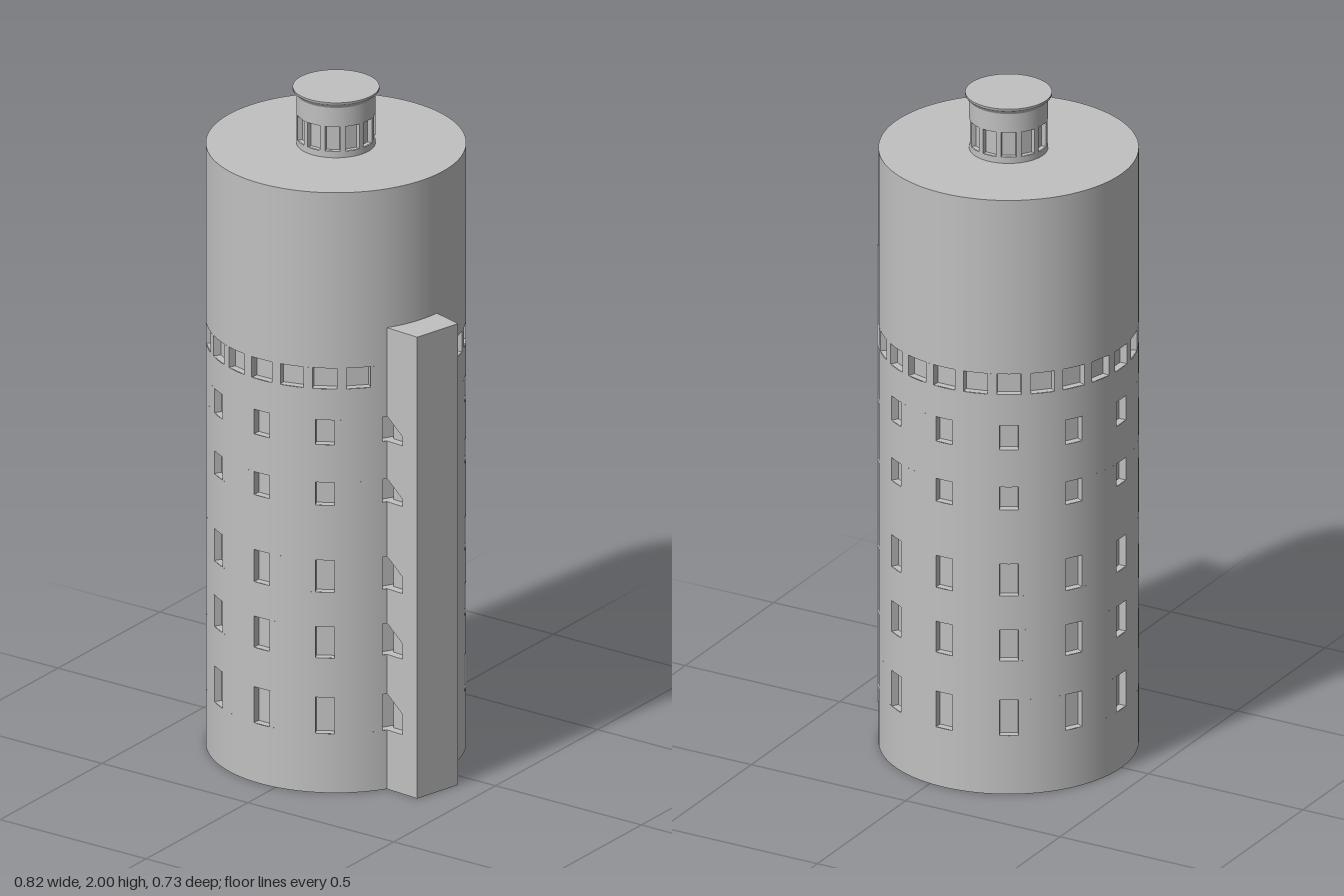
import * as THREE from 'three';
import { mergeGeometries } from 'three/addons/utils/BufferGeometryUtils.js';

const DEG = Math.PI / 180;
const CX = -0.047; // tower axis
const R = 0.366;
const ROWS = [[0.18, 0.29], [0.41, 0.505], [0.61, 0.708], [0.875, 0.945], [1.06, 1.135]];

// Smooth vertical strip of a cylinder wall, angles measured from +z towards +x
function wallPiece(r, y0, y1, a0 = 0, a1 = 360) {
  const g = new THREE.CylinderGeometry(r, r, y1 - y0, Math.max(2, Math.ceil((a1 - a0) / 3)), 1, true, a0 * DEG, (a1 - a0) * DEG);
  g.translate(0, (y0 + y1) / 2, 0);
  return g;
}

// Open-fronted niche: flat back, two jambs, sill and head
function niche(r, depth, y0, y1, a0, a1) {
  const q = r - depth;
  const p = (rad, a, y) => [rad * Math.sin(a * DEG), y, rad * Math.cos(a * DEG)];
  const faces = [
    [p(q, a0, y0), p(q, a1, y0), p(q, a1, y1), p(q, a0, y1)],
    [p(r, a0, y0), p(q, a0, y0), p(q, a0, y1), p(r, a0, y1)],
    [p(q, a1, y0), p(r, a1, y0), p(r, a1, y1), p(q, a1, y1)],
    [p(r, a0, y0), p(r, a1, y0), p(q, a1, y0), p(q, a0, y0)],
    [p(q, a0, y1), p(q, a1, y1), p(r, a1, y1), p(r, a0, y1)],
  ];
  const pos = faces.flatMap(([a, b, c, d]) => [a, b, c, a, c, d]).flat();
  const g = new THREE.BufferGeometry();
  g.setAttribute('position', new THREE.Float32BufferAttribute(pos, 3));
  g.computeVertexNormals();
  return g;
}

// Ring of wall with evenly spaced niches; skip lists angles left solid
function windowRing(walls, niches, r, depth, y0, y1, count, half, skip = []) {
  const step = 360 / count;
  for (let k = 0; k < count; k++) {
    const a = k * step;
    walls.push(wallPiece(r, y0, y1, a + half, a + step - half));
    if (skip.includes(a)) walls.push(wallPiece(r, y0, y1, a - half, a + half));
    else niches.push(niche(r, depth, y0, y1, a - half, a + half));
  }
}

export function createModel() {
  const root = new THREE.Group();
  root.name = 'roundTower';
  const stone = new THREE.MeshStandardMaterial({ color: 0xc0c0c0 });
  stone.name = 'paleGrey';
  const add = (name, geometry, parent = root) => {
    const m = new THREE.Mesh(geometry, stone);
    m.name = name;
    parent.add(m);
    return m;
  };
  const disc = (r, y, up = true) => {
    const g = new THREE.CircleGeometry(r, 120);
    g.rotateX(up ? -Math.PI / 2 : Math.PI / 2);
    return g.translate(0, y, 0);
  };

  // Main tower: solid rings between window rings
  const tower = new THREE.Group();
  tower.name = 'tower';
  tower.position.x = CX;
  root.add(tower);
  const walls = [], niches = [], bandNiches = [];
  let y = 0;
  for (const [y0, y1] of ROWS) {
    walls.push(wallPiece(R, y, y0));
    windowRing(walls, niches, R, 0.022, y0, y1, 12, 4.2);
    y = y1;
  }
  walls.push(wallPiece(R, y, 1.23));
  windowRing(walls, bandNiches, R, 0.022, 1.23, 1.293, 24, 5.4, [60, 75, 90]);
  walls.push(wallPiece(R, 1.293, 1.828));
  add('towerWall', mergeGeometries(walls), tower);
  add('windowNiches', mergeGeometries(niches), tower);
  add('bandNiches', mergeGeometries(bandNiches), tower);
  add('towerRoof', disc(R, 1.828), tower);
  add('towerBase', disc(R, 0, false), tower);

  // Lantern: ring of small niches, plain drum and flared cap
  const lantern = new THREE.Group();
  lantern.name = 'lantern';
  lantern.position.x = CX;
  root.add(lantern);
  const r = 0.111, drum = [], openings = [];
  drum.push(wallPiece(r, 1.828, 1.847));
  windowRing(drum, openings, r, 0.014, 1.847, 1.922, 12, 11);
  drum.push(wallPiece(r, 1.922, 1.985));
  add('lanternWall', mergeGeometries(drum), lantern);
  add('lanternNiches', mergeGeometries(openings), lantern);
  const flare = [[r, 1.98], [0.115, 1.988], [0.122, 1.993], [0.122, 2]];
  add('lanternRim', new THREE.LatheGeometry(flare.map(p => new THREE.Vector2(...p)), 96), lantern);
  add('lanternRoof', disc(0.122, 2), lantern);

  // Stair shaft: footprint corners, with a notched front plate
  const H = 1.405, T = 0.025;
  const A = new THREE.Vector3(0.262, 0, 0.194), B = new THREE.Vector3(0.373, 0, 0.203);
  const C = new THREE.Vector3(0.41, 0, 0.055), D = new THREE.Vector3(0.318, 0, 0.027);
  const along = B.clone().sub(A), width = along.length();
  along.normalize();
  const forward = B.clone().sub(C).normalize();
  const A2 = A.clone().addScaledVector(forward, -T), B2 = B.clone().addScaledVector(forward, -T);

  const foot = new THREE.Shape([A2, B2, C, D].map(v => new THREE.Vector2(v.x, -v.z)));
  const body = new THREE.ExtrudeGeometry(foot, { depth: H, bevelEnabled: false });
  body.rotateX(-Math.PI / 2);
  add('stairShaft', body);

  // Slanted notches where the neighbouring windows run into the shaft
  const outline = [[0, H], [0, 0], [width, 0], [width, H]].map(p => new THREE.Vector2(...p));
  const left = [];
  for (const [y0, y1] of [...ROWS].reverse()) {
    left.push([0, y1], [0.006, y1 - 0.003], [0.058, y1 - 0.048], [0.058, y0], [0, y0]);
  }
  outline.splice(1, 0, ...left.map(p => new THREE.Vector2(...p)));
  const plate = new THREE.ExtrudeGeometry(new THREE.Shape(outline), { depth: T, bevelEnabled: false });
  plate.applyMatrix4(new THREE.Matrix4().makeBasis(along, new THREE.Vector3(0, 1, 0), forward).setPosition(A2));
  add('stairFront', plate);

  return root;
}
